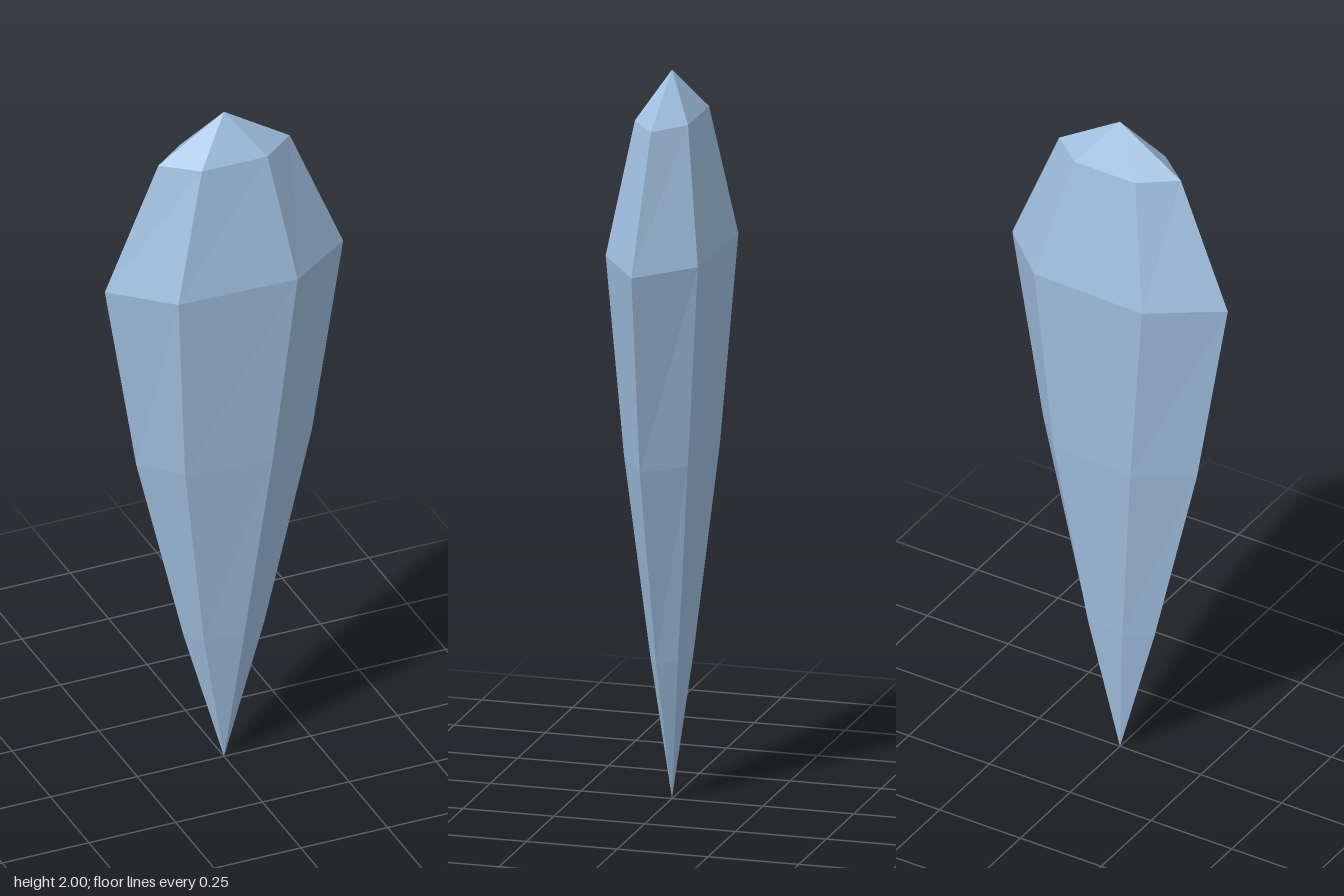
import * as THREE from 'three';

const SIDES = 6;
const FLATTEN = 0.45; // depth relative to width

// Cross-sections from the top point to the bottom tip: height, radius, twist in degrees
const RINGS = [
  { y: 2.0, r: 0, twist: 0 },
  { y: 1.88, r: 0.189, twist: 0.6 },
  { y: 1.52, r: 0.34, twist: 3.5 },
  { y: 0.96, r: 0.249, twist: 7.4 },
  { y: 0.4, r: 0.115, twist: 11 },
  { y: 0, r: 0, twist: 14 },
];

function corner(ring, k) {
  const a = ((k % SIDES) / SIDES) * Math.PI * 2 + THREE.MathUtils.degToRad(ring.twist);
  return [ring.r * Math.cos(a), ring.y, ring.r * FLATTEN * Math.sin(a)];
}

// Skin the rings with separate flat facets
function crystalGeometry() {
  const points = [];
  for (let i = 0; i < RINGS.length - 1; i++) {
    const upper = RINGS[i];
    const lower = RINGS[i + 1];
    for (let k = 0; k < SIDES; k++) {
      const a = corner(upper, k);
      const b = corner(upper, k + 1);
      const c = corner(lower, k);
      const d = corner(lower, k + 1);
      if (upper.r > 0) points.push(...a, ...b, ...d);
      if (lower.r > 0) points.push(...a, ...d, ...c);
    }
  }
  const geometry = new THREE.BufferGeometry();
  geometry.setAttribute('position', new THREE.Float32BufferAttribute(points, 3));
  geometry.computeVertexNormals();
  return geometry;
}

export function createModel() {
  const model = new THREE.Group();
  model.name = 'crystalShard';

  const iceBlue = new THREE.MeshStandardMaterial({ color: 0xa0c0e0, flatShading: true });
  iceBlue.name = 'iceBlue';

  // Faceted, slightly twisted shard
  const shard = new THREE.Mesh(crystalGeometry(), iceBlue);
  shard.name = 'shard';
  model.add(shard);

  return model;
}
